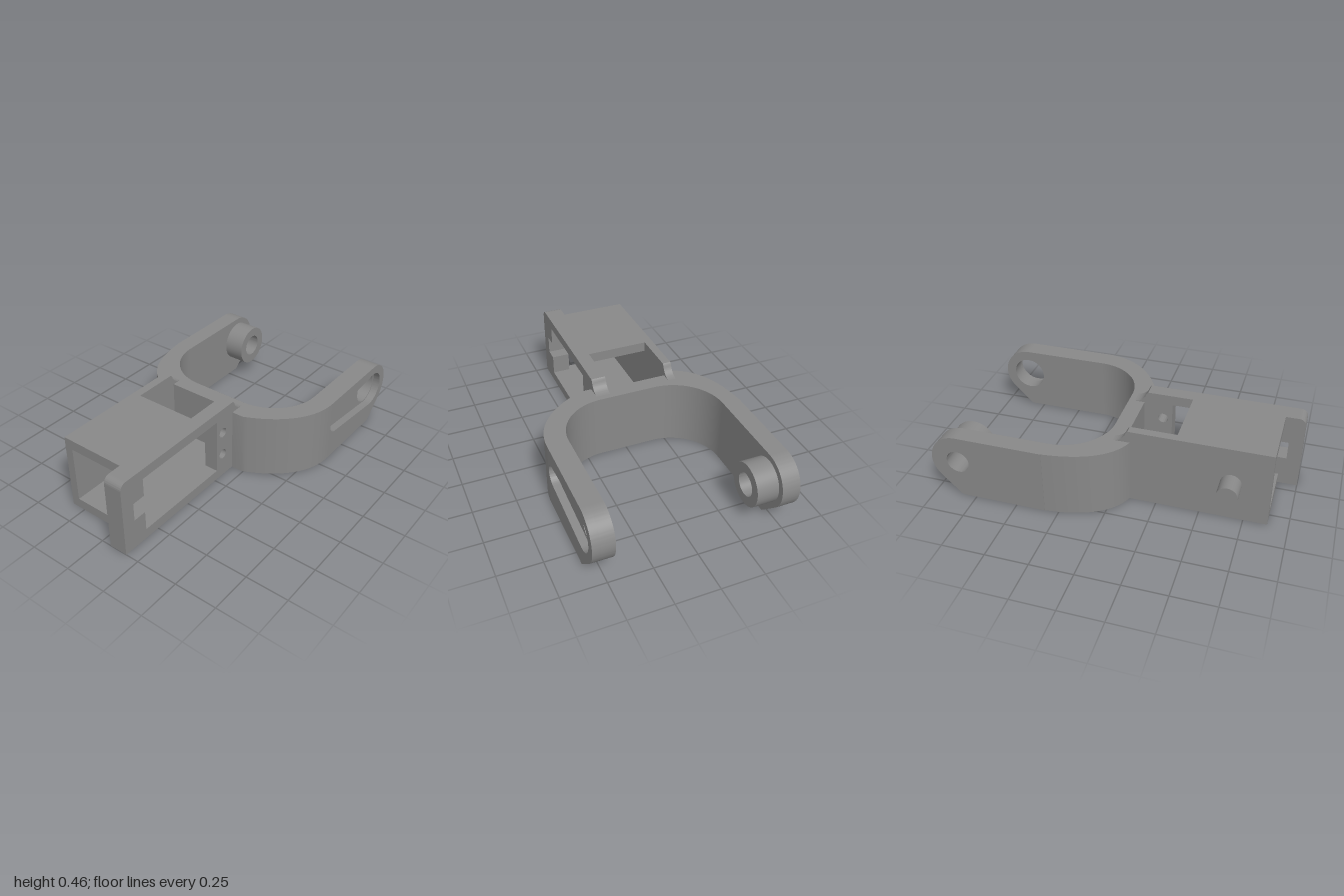
import * as THREE from 'three';
import { toCreasedNormals } from 'three/addons/utils/BufferGeometryUtils.js';

export function createModel() {
  const group = new THREE.Group();
  const grey = new THREE.MeshStandardMaterial({ color: 0x888888 });
  grey.name = 'grey';

  const add = (name, geometry) => {
    const mesh = new THREE.Mesh(geometry, grey);
    mesh.name = name;
    group.add(mesh);
    return mesh;
  };
  const box = (name, x0, x1, y0, y1, z0, z1) =>
    add(name, new THREE.BoxGeometry(x1 - x0, y1 - y0, z1 - z0))
      .position.set((x0 + x1) / 2, (y0 + y1) / 2, (z0 + z1) / 2);
  const extrude = (shape, depth) => toCreasedNormals(
    new THREE.ExtrudeGeometry(shape, { depth, bevelEnabled: false, curveSegments: 24 }), 0.5);
  // Side profile extruded from z0 to z1
  const slab = (name, shape, z0, z1, holes = []) => {
    shape.holes.push(...holes);
    add(name, extrude(shape, z1 - z0).translate(0, 0, z0));
  };
  const circle = (x, y, r) => new THREE.Path().absarc(x, y, r, 0, Math.PI * 2, false);
  const polygon = (pts) => pts.map(([x, y]) => new THREE.Vector2(x, y));

  // Housing walls: concave fillet where they run into the fork
  const wall = (x0, r) => {
    const s = new THREE.Shape();
    s.moveTo(x0, 0);
    s.lineTo(0, 0);
    s.lineTo(0, 0.39);
    s.quadraticCurveTo(-0.055, 0.395, -0.072, 0.45);
    s.lineTo(-0.082, 0.46);
    s.lineTo(x0 + r, 0.46);
    if (r) s.absarc(x0 + r, 0.46 - r, r, Math.PI / 2, Math.PI, false);
    s.lineTo(x0, 0);
    return s;
  };
  const windowHole = new THREE.Path(polygon([
    [-0.84, 0.06], [-0.23, 0.06], [-0.23, 0.4], [-0.84, 0.4],
    [-0.84, 0.29], [-0.92, 0.29], [-0.92, 0.18], [-0.84, 0.18], [-0.84, 0.06]]));
  slab('frontWall', wall(-1, 0.04), 0.085, 0.17,
    [windowHole, circle(-0.175, 0.3, 0.03), circle(-0.175, 0.15, 0.03)]);
  slab('backWall', wall(-0.885, 0), -0.335, -0.285);

  // Thicker end of the front wall, with its notch
  const flange = new THREE.Shape(polygon([
    [-1, 0], [-0.84, 0], [-0.84, 0.18], [-0.92, 0.18], [-0.92, 0.29], [-0.84, 0.29], [-0.84, 0.46]]));
  flange.lineTo(-0.96, 0.46);
  flange.absarc(-0.96, 0.42, 0.04, Math.PI / 2, Math.PI, false);
  slab('endFlange', flange, 0.06, 0.085);

  box('housingFloor', -0.885, -0.05, 0, 0.06, -0.285, 0.085);
  box('housingRoof', -0.885, -0.35, 0.4, 0.46, -0.285, 0.085);

  // Peg on the back wall
  add('peg', new THREE.CylinderGeometry(0.06, 0.06, 0.13, 32).rotateX(Math.PI / 2))
    .position.set(-0.665, 0.235, -0.39);

  // Curved base of the fork, drawn in plan
  const yoke = new THREE.Shape();
  yoke.moveTo(0.33, 0.576);
  yoke.bezierCurveTo(0.14, 0.56, -0.04, 0.5, -0.095, 0.335);
  yoke.lineTo(-0.085, 0.285);
  yoke.lineTo(-0.06, 0.285);
  yoke.lineTo(-0.06, -0.085);
  yoke.lineTo(-0.085, -0.085);
  yoke.lineTo(-0.085, -0.24);
  yoke.bezierCurveTo(0, -0.44, 0.14, -0.575, 0.33, -0.575);
  yoke.lineTo(0.33, -0.452);
  yoke.absarc(0.33, -0.157, 0.295, -Math.PI / 2, -Math.PI, true);
  yoke.absarc(0.33, 0.177, 0.295, Math.PI, Math.PI / 2, true);
  yoke.lineTo(0.33, 0.576);
  add('forkBase', extrude(yoke, 0.39).rotateX(-Math.PI / 2));

  // Fork arms: round end with a sloping lower corner
  const cx = 0.84, cy = 0.23;
  const arm = () => {
    const s = new THREE.Shape();
    s.moveTo(0.33, 0);
    s.lineTo(0.836, 0);
    s.absarc(cx, cy, 0.16, -Math.PI / 4, Math.PI / 2, false);
    s.lineTo(0.33, 0.39);
    s.lineTo(0.33, 0);
    return s;
  };
  // Tapered recess leading into the front eye
  const tilt = 0.098;
  const recess = new THREE.Path();
  recess.absarc(0.4, cy, 0.065, Math.PI / 2 + tilt, Math.PI * 1.5 - tilt, false);
  recess.absarc(cx, cy, 0.108, -Math.PI / 2 - tilt, Math.PI / 2 + tilt, false);
  recess.closePath();
  slab('frontArmInner', arm(), 0.452, 0.53, [circle(cx, cy, 0.1)]);
  slab('frontArmOuter', arm(), 0.53, 0.575, [recess]);
  slab('backArm', arm(), -0.578, -0.472, [circle(cx, cy, 0.068)]);

  // Hollow boss inside the back arm
  const ring = new THREE.Shape().absarc(cx, cy, 0.125, 0, Math.PI * 2, false);
  slab('boss', ring, -0.472, -0.345, [circle(cx, cy, 0.068)]);

  return group;
}
